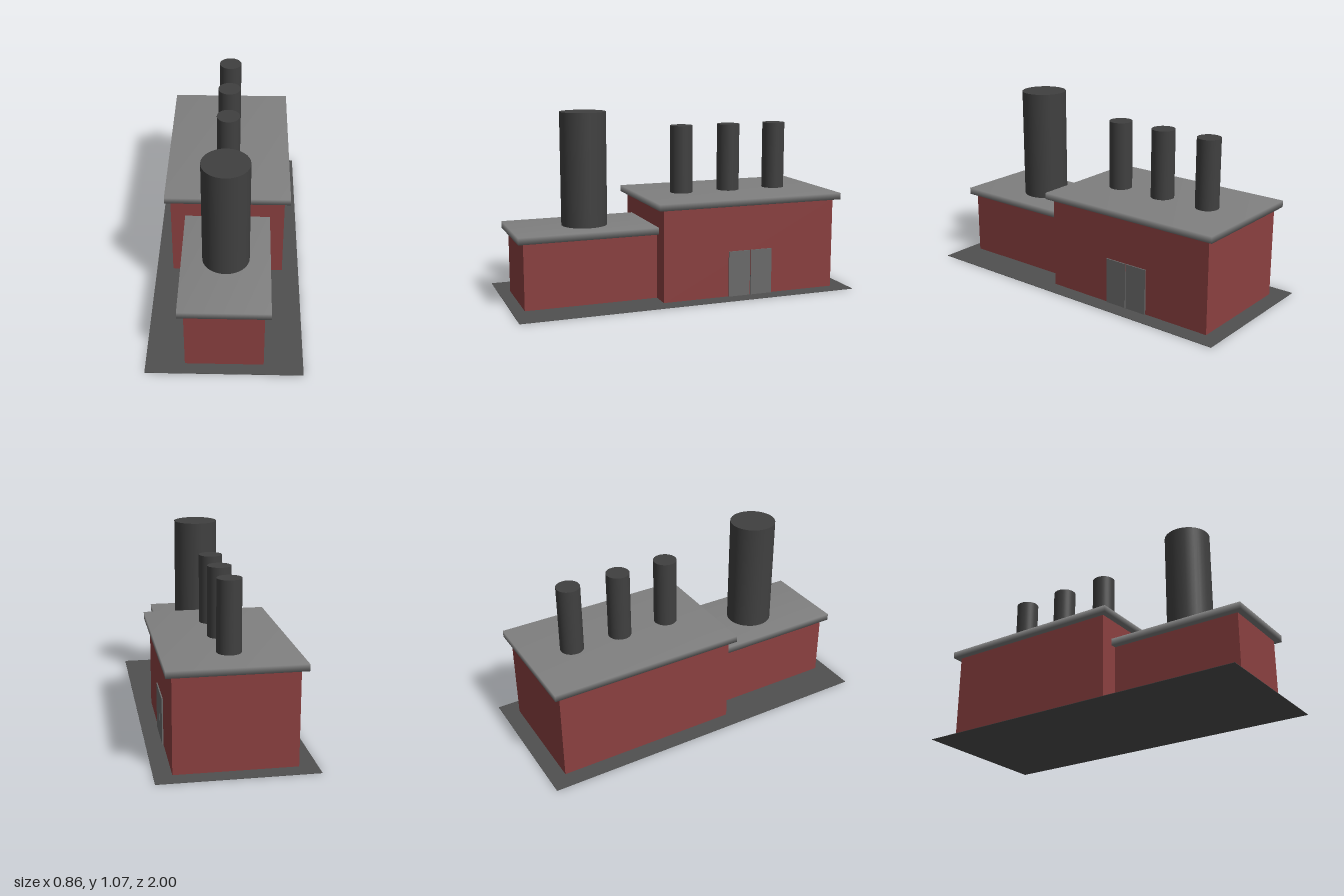
import * as THREE from 'three';
import { mergeVertices } from 'three/addons/utils/BufferGeometryUtils.js';

const paint = (color) => new THREE.MeshStandardMaterial({ color });

export function createModel() {
  const model = new THREE.Group();
  const brick = paint(0x8b4040);
  const roofGrey = paint(0x808080);
  const chimneyGrey = paint(0x404040);
  const groundGrey = paint(0x505050);
  const doorGrey = paint(0x6b6b6b);

  const add = (name, geometry, material) => {
    const mesh = new THREE.Mesh(geometry, material);
    mesh.name = name;
    model.add(mesh);
    return mesh;
  };

  // Box given by its extents on each axis
  const box = (x0, x1, y0, y1, z0, z1) =>
    new THREE.BoxGeometry(x1 - x0, y1 - y0, z1 - z0)
      .translate((x0 + x1) / 2, (y0 + y1) / 2, (z0 + z1) / 2);

  // Box with shared corners, so its edges shade softly
  const softBox = (...extents) => {
    const g = box(...extents);
    g.deleteAttribute('normal');
    g.deleteAttribute('uv');
    const merged = mergeVertices(g);
    merged.computeVertexNormals();
    return merged;
  };

  const chimney = (name, radius, y0, y1, z) =>
    add(name, new THREE.CylinderGeometry(radius, radius, y1 - y0, 32), chimneyGrey)
      .position.set(0, (y0 + y1) / 2, z);

  // Thin ground slab
  add('groundSlab', box(-0.432, 0.432, 0, 0.002, -1, 1), groundGrey);

  // Main hall and its overhanging roof
  add('mainHall', box(-0.333, 0.333, 0.002, 0.537, -0.905, 0.16), brick);
  add('mainRoof', softBox(-0.366, 0.366, 0.535, 0.573, -0.94, 0.193), roofGrey);

  // Lower front annex and its roof, running into the hall
  add('annex', box(-0.216, 0.216, 0.002, 0.382, 0.12, 0.928), brick);
  add('annexRoof', softBox(-0.249, 0.249, 0.38, 0.42, 0.09, 0.96), roofGrey);

  // Chimneys: one wide on the annex, three slim in a row on the hall
  chimney('wideChimney', 0.132, 0.41, 1.068, 0.527);
  for (let i = 0; i < 3; i++) {
    chimney(`slimChimney${i + 1}`, 0.067, 0.56, 0.97, -0.07 - 0.301 * i);
  }

  // Double door on the left side, with a narrow gap between the leaves
  const doorZ = -0.371;
  for (const side of [-1, 1]) {
    const near = doorZ + side * 0.003, far = doorZ + side * 0.135;
    add(side > 0 ? 'frontDoorLeaf' : 'rearDoorLeaf',
      box(0.325, 0.34, 0.002, 0.268, Math.min(near, far), Math.max(near, far)), doorGrey);
  }

  return model;
}
